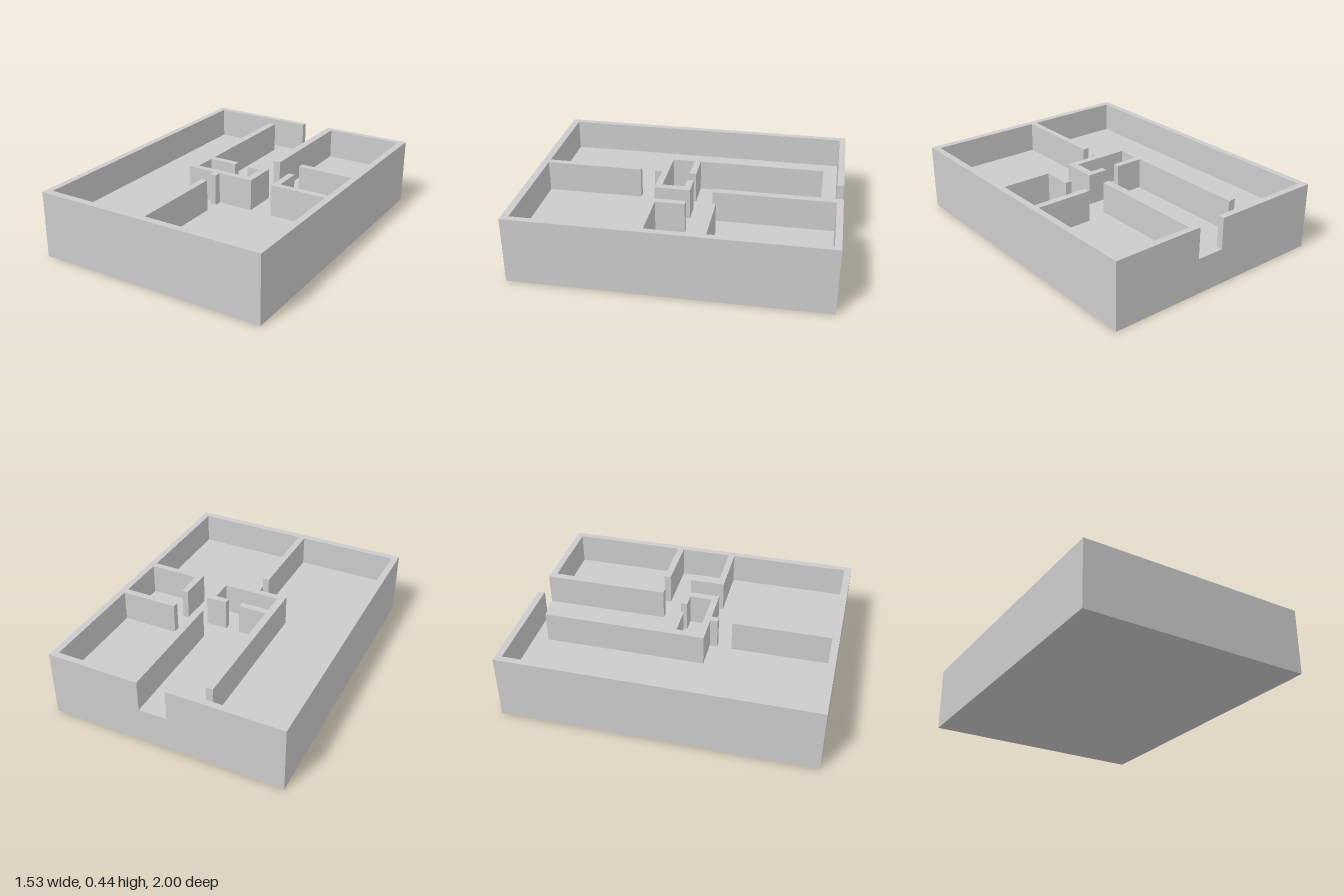
import * as THREE from 'three';

const HEIGHT = 0.435, FLOOR = 0.232;
const material = new THREE.MeshStandardMaterial({ color: 0xcccccc, flatShading: true });

// Raise a floor-plan outline, given as [x, z] corners, from the floor to the wall tops
function wallsFromPlan(name, plan) {
  const shape = new THREE.Shape(plan.map(([x, z]) => new THREE.Vector2(x, -z)));
  const geometry = new THREE.ExtrudeGeometry(shape, { depth: HEIGHT - FLOOR, bevelEnabled: false });
  geometry.rotateX(-Math.PI / 2).translate(0, FLOOR, 0);
  const mesh = new THREE.Mesh(geometry, material);
  mesh.name = name;
  return mesh;
}

export function createModel() {
  const group = new THREE.Group();
  group.name = 'housePlan';

  // Thick base slab
  const slab = new THREE.Mesh(new THREE.BoxGeometry(1.53, FLOOR, 2), material);
  slab.name = 'floorSlab';
  slab.position.y = FLOOR / 2;
  group.add(slab);

  // Outer walls with the entrance gap and the partitions joined to them
  group.add(wallsFromPlan('outerWalls', [
    // outside face, round to the far side of the entrance
    [-0.024, -1], [-0.765, -1], [-0.765, 1], [0.765, 1], [0.765, -1], [0.161, -1],
    // hallway partition
    [0.161, -0.19], [0.209, -0.19], [0.209, -0.958], [0.723, -0.958],
    // back bedroom partition
    [0.723, -0.233], [0.352, -0.233], [0.352, -0.19], [0.723, -0.19],
    // closet partition
    [0.723, 0.138], [0.394, 0.138], [0.394, -0.048], [0.352, -0.048], [0.352, 0.18], [0.723, 0.18],
    // front room partition
    [0.723, 0.954], [-0.024, 0.954], [-0.024, 0.323], [-0.066, 0.323], [-0.066, 0.954],
    // inside face back to the entrance
    [-0.723, 0.954], [-0.723, -0.958], [-0.024, -0.958],
  ]));

  // Freestanding core: long corridor wall, small room and door stub
  group.add(wallsFromPlan('coreWalls', [
    [-0.257, -0.863], [-0.21, -0.863], [-0.21, -0.048], [-0.024, -0.048], [-0.024, -0.005],
    [-0.21, -0.005], [-0.21, 0.138], [0.161, 0.138], [0.161, -0.005], [0.071, -0.005],
    [0.071, -0.048], [0.209, -0.048], [0.209, 0.18], [-0.024, 0.18], [-0.024, 0.228],
    [-0.066, 0.228], [-0.066, 0.18], [-0.257, 0.18],
  ]));

  return group;
}
